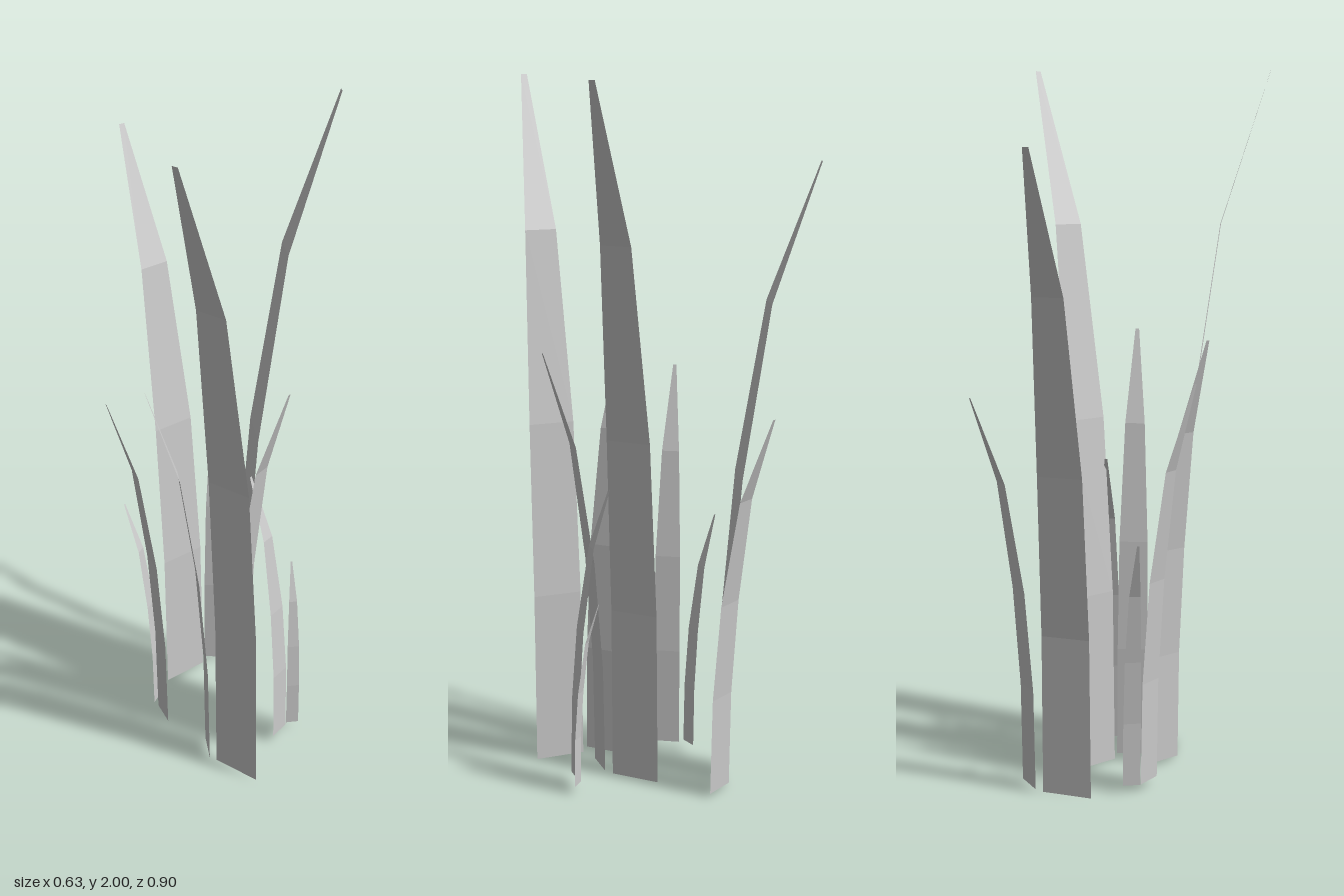
import * as THREE from 'three';

// Shared blade profile: [height, outward lean, width], each as a fraction
const PROFILE = [
  [0, 0, 1],
  [0.255, 0.03, 0.98],
  [0.51, 0.17, 0.91],
  [0.785, 0.47, 0.63],
  [1, 1, 0.12],
];

// Each blade: base corner a [x, z], base corner b [x, z], tip centre [x, z], bottom y, top y
const BLADES = [
  { a: [-0.137, -0.188], b: [-0.013, -0.26], tip: [-0.205, -0.448], bottom: 0, top: 1.78 },
  { a: [-0.005, -0.28], b: [0.084, -0.258], tip: [0.08, -0.427], bottom: 0.01, top: 1.12 },
  { a: [0.058, 0.061], b: [0.058, -0.083], tip: [0.315, -0.011], bottom: 0, top: 2 },
  { a: [-0.04, 0.206], b: [0.063, 0.309], tip: [-0.17, 0.441], bottom: 0, top: 2 },
  { a: [-0.06, 0.113], b: [-0.06, 0.204], tip: [-0.223, 0.159], bottom: 0.01, top: 1.26 },
  { a: [0.006, 0.144], b: [0.07, 0.08], tip: [0.152, 0.225], bottom: 0.01, top: 1.26 },
  { a: [-0.185, -0.047], b: [-0.164, 0.031], tip: [-0.316, 0.029], bottom: 0.02, top: 1.16 },
  { a: [-0.17, -0.1], b: [-0.196, -0.057], tip: [-0.262, -0.125], bottom: 0.025, top: 0.73 },
  { a: [0.19, 0.108], b: [0.143, 0.154], tip: [0.083, 0.048], bottom: 0.025, top: 0.9 },
  { a: [0.193, 0.099], b: [0.231, 0.099], tip: [0.211, 0.029], bottom: 0.025, top: 0.58 },
];

// A flat strip bent outward and tapered along the profile
function bladeGeometry({ a, b, tip, bottom, top }) {
  const rows = PROFILE.length - 1;
  const geometry = new THREE.PlaneGeometry(1, 1, 1, rows);
  const pos = geometry.attributes.position;
  const cx = (a[0] + b[0]) / 2;
  const cz = (a[1] + b[1]) / 2;
  for (let i = 0; i < pos.count; i++) {
    const row = Math.round((pos.getY(i) + 0.5) * rows);
    const [height, lean, width] = PROFILE[row];
    const side = pos.getX(i) * width;
    pos.setXYZ(
      i,
      cx + (tip[0] - cx) * lean + (b[0] - a[0]) * side,
      bottom + (top - bottom) * height,
      cz + (tip[1] - cz) * lean + (b[1] - a[1]) * side
    );
  }
  geometry.computeVertexNormals();
  return geometry;
}

export function createModel() {
  const group = new THREE.Group();
  group.name = 'grassTuft';
  const material = new THREE.MeshStandardMaterial({
    color: 0xcccccc,
    flatShading: true,
    side: THREE.DoubleSide,
  });
  BLADES.forEach((blade, i) => {
    const mesh = new THREE.Mesh(bladeGeometry(blade), material);
    mesh.name = `grassBlade${i + 1}`;
    group.add(mesh);
  });
  return group;
}
